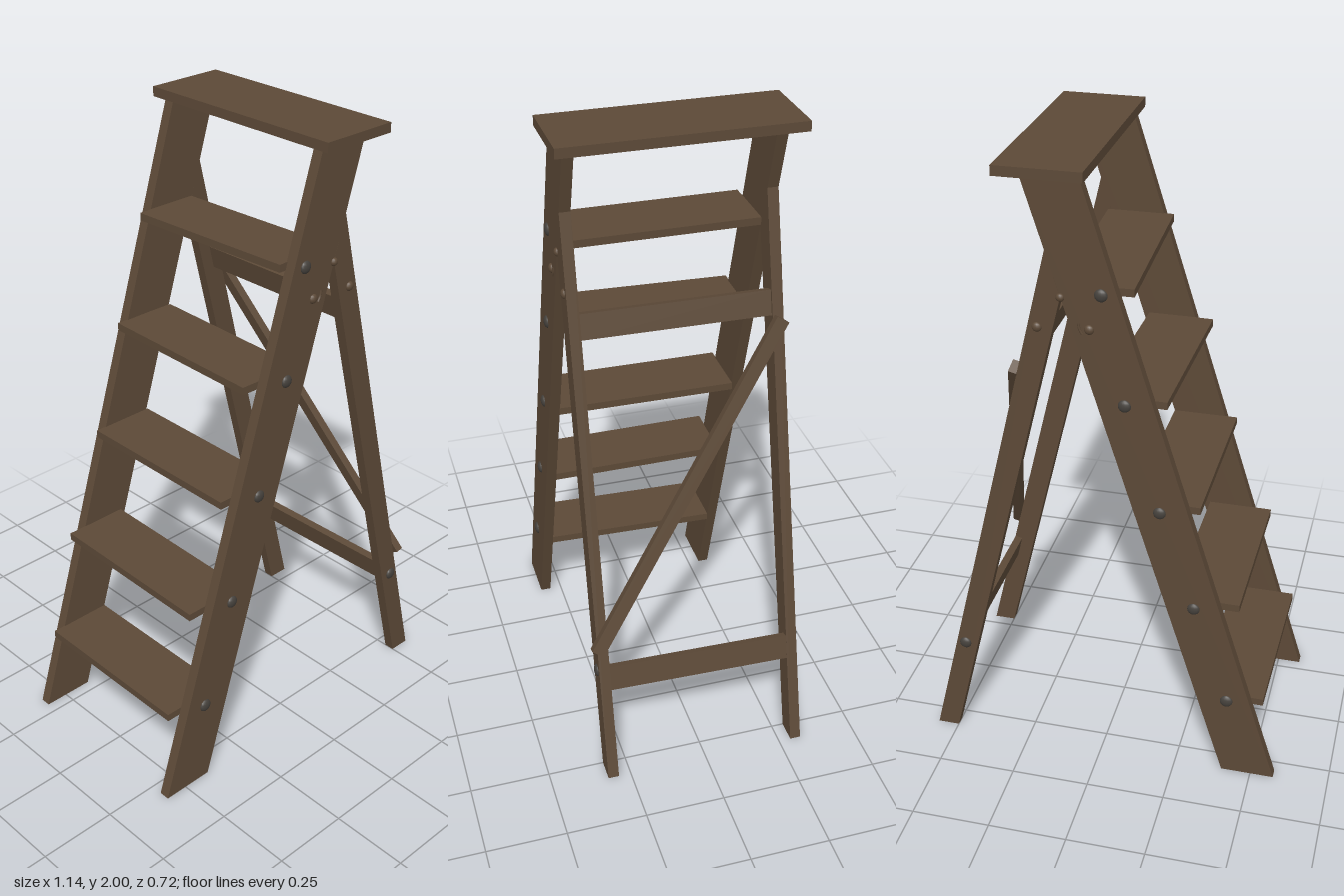
import * as THREE from 'three';

export function createModel() {
  const model = new THREE.Group();
  model.name = 'stepladder';
  const wood = new THREE.MeshStandardMaterial({ color: 0x5c4937 });
  wood.name = 'dark wood';
  const iron = new THREE.MeshStandardMaterial({ color: 0x45413c });
  iron.name = 'dull iron';

  const add = (parent, name, geometry, material, x = 0, y = 0, z = 0) => {
    const mesh = new THREE.Mesh(geometry, material);
    mesh.name = name;
    mesh.position.set(x, y, z);
    parent.add(mesh);
    return mesh;
  };
  // Board cut from an outline in the x-y plane, with its thickness along z
  const board = (points) => new THREE.ExtrudeGeometry(
    new THREE.Shape(points.map(([x, y]) => new THREE.Vector2(x, y))),
    { depth: 0.034, bevelEnabled: false }
  ).translate(0, 0, -0.017);

  const rail = board([[-0.575, 0], [-0.405, 0], [0.215, 1.973], [0.045, 1.973]]);
  const leg = board([[0.5, 0], [0.57, 0], [0.147, 1.76], [0.105, 1.62]]);

  // x, y, radius of the bolt heads
  const bolts = [
    [-0.412, 0.283, 0.021], [-0.298, 0.622, 0.02], [-0.187, 0.953, 0.02],
    [-0.08, 1.3, 0.02], [-0.013, 1.638, 0.02], [0.455, 0.355, 0.02]
  ];
  const hingePins = [[0.022, 1.53, 0.015], [0.105, 1.62, 0.013], [0.176, 1.522, 0.015]];

  for (const side of [-1, 1]) {
    const label = side > 0 ? 'front' : 'back';
    const z = side * 0.306;
    add(model, label + 'SideRail', rail, wood, 0, 0, z);
    add(model, label + 'RearLeg', leg, wood, 0, 0, z);
    const head = (name, material) => ([x, y, r]) => {
      const dome = add(model, name, new THREE.SphereGeometry(r, 14, 8), material, x, y, side * 0.322);
      dome.scale.z = 0.011 / r;
    };
    bolts.forEach(head(label + 'Bolt', iron));
    hingePins.forEach(head(label + 'HingePin', wood));

    // Short bent wire at the hinge
    const wire = new THREE.CatmullRomCurve3([
      [0.042, 1.515], [0.05, 1.53], [0.053, 1.548]
    ].map(([x, y]) => new THREE.Vector3(x, y, side * 0.324)));
    add(model, label + 'HingeWire', new THREE.TubeGeometry(wire, 8, 0.004, 6), wood);
  }

  // Top plank
  add(model, 'topPlank', new THREE.BoxGeometry(0.257, 0.03, 0.716), wood, 0.153, 1.985, 0);

  // Steps, each sitting a little crooked: centre x, centre y, roll, yaw
  const steps = [
    [-0.425, 0.278, -0.015, -0.017], [-0.333, 0.62, 0.012, -0.009],
    [-0.203, 0.957, 0, -0.009], [-0.105, 1.302, -0.008, -0.035],
    [0.012, 1.642, -0.012, 0.026]
  ];
  const tread = new THREE.BoxGeometry(0.21, 0.024, 0.58);
  steps.forEach(([x, y, roll, yaw], i) => {
    add(model, 'step' + (i + 1), tread, wood, x, y, 0).rotation.set(roll, yaw, 0);
  });

  // Rear bracing, tilted with the legs; local x = 0 is their outer face
  const bracing = new THREE.Group();
  bracing.name = 'rearBracing';
  bracing.position.set(0.57, 0, 0);
  bracing.rotation.z = Math.atan(0.2405);
  model.add(bracing);
  const bar = new THREE.BoxGeometry(0.025, 0.078, 0.585);
  add(bracing, 'lowerCrossbar', bar, wood, -0.013, 0.341, 0).rotation.x = -0.02;
  add(bracing, 'upperCrossbar', bar, wood, -0.02, 1.47, 0).rotation.x = -0.008;
  const diagonal = new THREE.BoxGeometry(0.025, 1.16, 0.042);
  add(bracing, 'diagonalBrace', diagonal, wood, 0.012, 0.936, 0.006).rotation.x = -0.584;

  return model;
}
